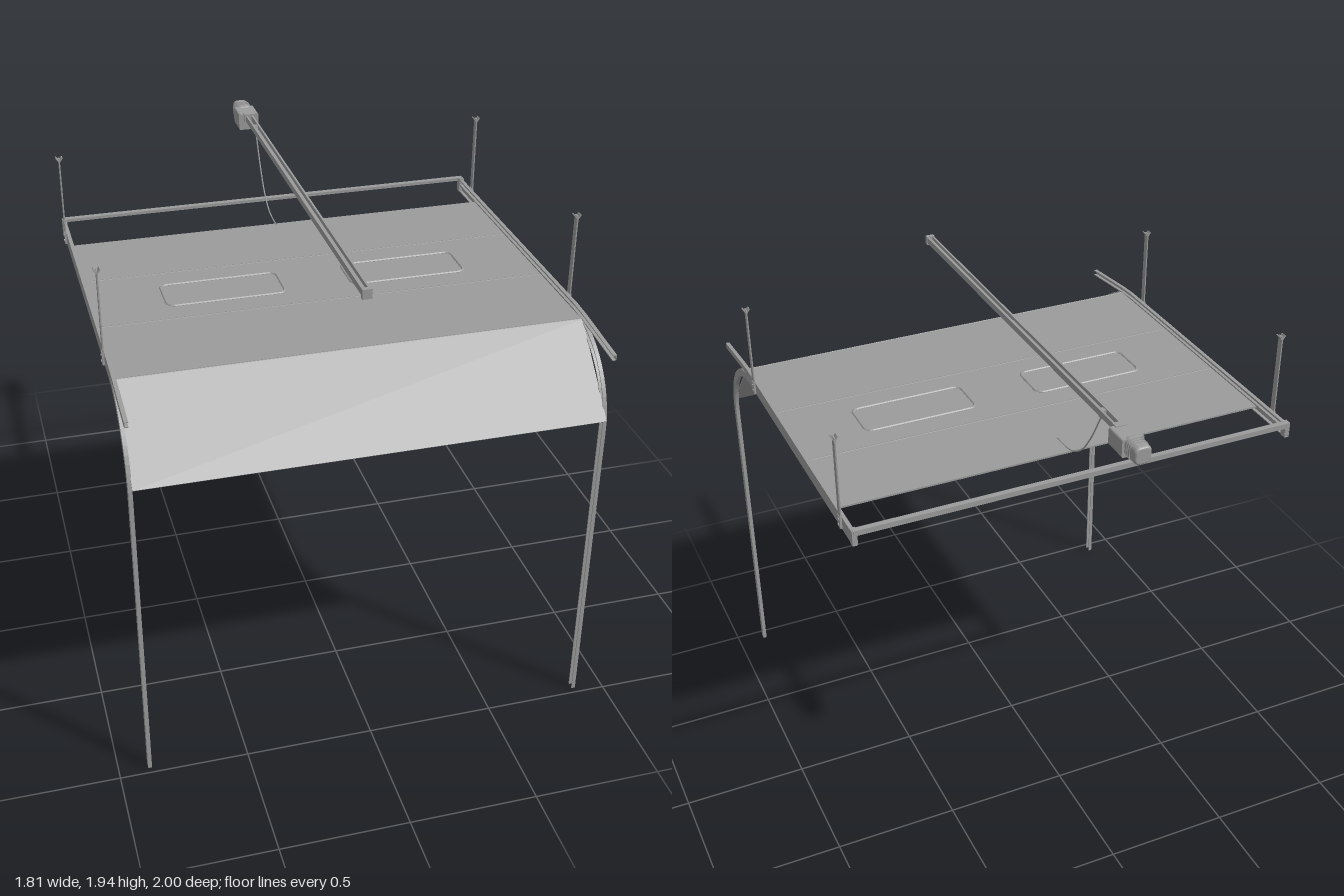
import * as THREE from 'three';

const steel = new THREE.MeshStandardMaterial({ color: 0x9b9b9b, side: THREE.DoubleSide });
const RAIL_X = -0.033;

function add(parent, name, geometry, x = 0, y = 0, z = 0) {
  const mesh = new THREE.Mesh(geometry, steel);
  mesh.name = name;
  mesh.position.set(x, y, z);
  parent.add(mesh);
  return mesh;
}

// box given by its limits on each axis
function box(parent, name, [x0, x1], [y0, y1], [z0, z1]) {
  return add(parent, name, new THREE.BoxGeometry(x1 - x0, y1 - y0, z1 - z0),
    (x0 + x1) / 2, (y0 + y1) / 2, (z0 + z1) / 2);
}

// band following a (z, y) path between two sideways offsets, with thickness along x
function band(path, from, to, thickness) {
  const offset = (d) => path.map((p, i) => {
    const a = path[Math.max(i - 1, 0)], b = path[Math.min(i + 1, path.length - 1)];
    const t = b.clone().sub(a).normalize();
    return new THREE.Vector2(p.x - t.y * d, p.y + t.x * d);
  });
  const shape = new THREE.Shape([...offset(from), ...offset(to).reverse()]);
  const g = new THREE.ExtrudeGeometry(shape, { depth: thickness, bevelEnabled: false });
  return g.translate(0, 0, -thickness / 2).rotateY(-Math.PI / 2);
}

// C-shaped track: outer web and two lips that face the door
function channel(parent, name, path, half, side) {
  const track = new THREE.Group();
  track.name = name;
  add(track, 'trackWeb', band(path, -half, half, 0.003), side * 0.8865);
  for (const e of [-1, 1]) {
    add(track, 'trackLip', band(path, e * half, e * (half - 0.004), 0.013), side * 0.8795);
  }
  parent.add(track);
}

function roundedRect(target, w, h, r) {
  const x = w / 2, y = h / 2;
  target.moveTo(-x + r, -y).lineTo(x - r, -y);
  target.absarc(x - r, -y + r, r, -Math.PI / 2, 0);
  target.absarc(x - r, y - r, r, 0, Math.PI / 2);
  target.absarc(-x + r, y - r, r, Math.PI / 2, Math.PI);
  target.absarc(-x + r, -y + r, r, Math.PI, Math.PI * 1.5);
  return target;
}

function buildTracks(root) {
  // lower track: upright, quarter bend, level run
  const lower = [new THREE.Vector2(0.96, 0)];
  for (let i = 0; i <= 16; i++) {
    const a = (i / 16) * Math.PI / 2;
    lower.push(new THREE.Vector2(0.64 + 0.32 * Math.cos(a), 1.25 + 0.32 * Math.sin(a)));
  }
  lower.push(new THREE.Vector2(-0.63, 1.57));
  // upper track: level run with a drooping front end
  const upper = [[0.99, 1.563], [0.72, 1.592], [0.64, 1.597], [-0.63, 1.597]]
    .map(([z, y]) => new THREE.Vector2(z, y));

  for (const s of [-1, 1]) {
    channel(root, 'lowerTrack', lower, 0.015, s);
    channel(root, 'upperTrack', upper, 0.012, s);
    add(root, 'trackEndPlate', new THREE.BoxGeometry(0.02, 0.06, 0.028), s * 0.88, 1.586, -0.615);

    // ceiling hangers
    for (const z of [0.552, -0.505]) {
      const hanger = new THREE.Group();
      hanger.name = 'ceilingHanger';
      hanger.position.set(s * 0.891, 0, z);
      add(hanger, 'hangerStrap', new THREE.BoxGeometry(0.005, 0.37, 0.025), 0, 1.745, 0);
      add(hanger, 'hangerFoot', new THREE.BoxGeometry(0.01, 0.05, 0.026), 0, 1.585, 0);
      for (const e of [-1, 1]) {
        add(hanger, 'hangerTab', new THREE.BoxGeometry(0.004, 0.022, 0.025), e * 0.006, 1.926, 0)
          .rotation.z = -e * 0.6;
        add(hanger, 'hangerBolt', new THREE.CylinderGeometry(0.005, 0.005, 0.016, 8), 0, 1.585 + e * 0.012, 0)
          .rotation.z = Math.PI / 2;
      }
      root.add(hanger);
    }
  }
  // rear cross bar, slim angle section
  box(root, 'rearBarWeb', [-0.885, 0.885], [1.597, 1.618], [-0.632, -0.628]);
  box(root, 'rearBarFlange', [-0.885, 0.885], [1.614, 1.618], [-0.632, -0.609]);
}

function buildDoor(root) {
  const door = new THREE.Group();
  door.name = 'door';
  root.add(door);
  const y = 1.58, thick = 0.007, width = 1.752;
  const seams = [-0.42, -0.07, 0.32, 0.713];
  // level sections
  for (let i = 0; i < 3; i++) {
    const [a, b] = [seams[i] + 0.003, seams[i + 1] - 0.003];
    add(door, 'doorSection', new THREE.BoxGeometry(width, thick, b - a), 0, y, (a + b) / 2);
  }
  // sloping bottom section
  const dz = 0.28, dy = 0.28;
  add(door, 'bottomSection', new THREE.BoxGeometry(width, thick, Math.hypot(dz, dy)),
    0, y - dy / 2, 0.715 + dz / 2).rotation.x = Math.atan2(dy, dz);

  // window frames with sloped edges, proud of both faces
  const frame = roundedRect(new THREE.Shape(), 0.468, 0.187, 0.033);
  frame.holes.push(roundedRect(new THREE.Path(), 0.456, 0.175, 0.027));
  const frameGeo = new THREE.ExtrudeGeometry(frame, {
    depth: 0.009, bevelSize: 0.004, bevelThickness: 0.004, bevelSegments: 1, curveSegments: 6,
  }).translate(0, 0, -0.0045).rotateX(-Math.PI / 2);
  for (const s of [-1, 1]) add(door, 'windowFrame', frameGeo, s * 0.364, y, 0.127);

  // rounded joints and hinges at the seams, rollers at the edges
  for (const z of seams.slice(1)) {
    add(door, 'seamJoint', new THREE.CylinderGeometry(0.004, 0.004, width, 8), 0, y, z)
      .rotation.z = Math.PI / 2;
    for (const x of [-0.8, 0, 0.8]) {
      add(door, 'hinge', new THREE.BoxGeometry(0.018, 0.005, 0.024), x, y - 0.006, z - 0.006);
      add(door, 'hingePin', new THREE.CylinderGeometry(0.004, 0.004, 0.022, 8), x, y - 0.008, z - 0.004)
        .rotation.z = Math.PI / 2;
    }
    for (const s of [-1, 1]) {
      add(door, 'roller', new THREE.CylinderGeometry(0.009, 0.009, 0.008, 12), s * 0.878, 1.57, z)
        .rotation.z = Math.PI / 2;
    }
  }
}

function buildOpener(root) {
  const opener = new THREE.Group();
  opener.name = 'opener';
  opener.position.x = RAIL_X;
  root.add(opener);

  // twin rail with drive chain and trolley
  for (const s of [-1, 1]) {
    add(opener, 'railSide', new THREE.BoxGeometry(0.008, 0.025, 1.75), s * 0.012, 1.91, 0.05);
  }
  box(opener, 'driveChain', [-0.003, 0.003], [1.906, 1.914], [-0.7, 0.92]);
  box(opener, 'railFrontBracket', [-0.018, 0.018], [1.889, 1.926], [0.912, 0.93]);
  box(opener, 'trolley', [-0.009, 0.009], [1.885, 1.918], [-0.71, -0.685]);

  // motor body and rounded rear cover
  const body = roundedRect(new THREE.Shape(), 0.086, 0.07, 0.008);
  add(opener, 'motorBody', new THREE.ExtrudeGeometry(body, { depth: 0.1, bevelEnabled: false, curveSegments: 4 }),
    0, 1.89, -0.925);
  const cover = roundedRect(new THREE.Shape(), 0.05, 0.052, 0.014);
  add(opener, 'motorCover', new THREE.ExtrudeGeometry(cover, {
    depth: 0.07, bevelSize: 0.009, bevelThickness: 0.012, bevelSegments: 4, curveSegments: 6,
  }), 0, 1.895, -0.988);
  // cooling ribs around the cover
  const rib = roundedRect(new THREE.Shape(), 0.073, 0.074, 0.022);
  const ribGeo = new THREE.ExtrudeGeometry(rib, { depth: 0.004, bevelEnabled: false, curveSegments: 6 });
  for (const z of [-0.965, -0.952, -0.939]) add(opener, 'coverRib', ribGeo, 0, 1.895, z);
  box(opener, 'motorMount', [-0.022, 0.022], [1.893, 1.928], [-0.84, -0.81]);

  // hanging release cord resting on the door
  const cord = new THREE.CatmullRomCurve3([
    [1.89, -0.695], [1.865, -0.68], [1.76, -0.62], [1.67, -0.55], [1.625, -0.48], [1.612, -0.42], [1.61, -0.35],
  ].map(([y, z]) => new THREE.Vector3(0, y, z)));
  add(opener, 'releaseCord', new THREE.TubeGeometry(cord, 32, 0.003, 6));
  add(opener, 'cordKnob', new THREE.SphereGeometry(0.009, 12, 8), 0, 1.888, -0.695);
}

export function createModel() {
  const root = new THREE.Group();
  root.name = 'sectionalDoor';
  buildTracks(root);
  buildDoor(root);
  buildOpener(root);
  return root;
}
